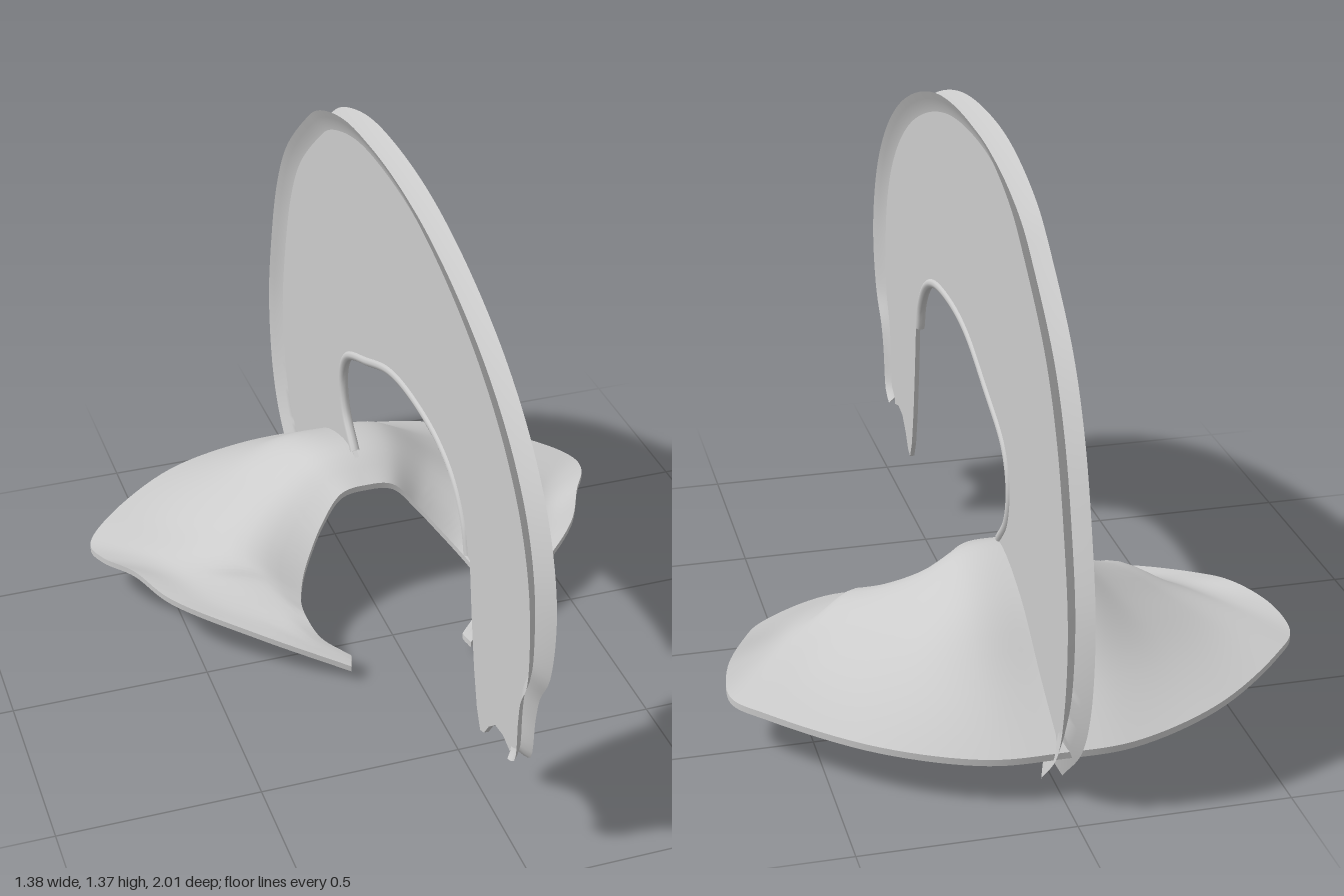
import * as THREE from 'three';
import { toCreasedNormals } from 'three/addons/utils/BufferGeometryUtils.js';

const grey = new THREE.MeshStandardMaterial({ color: 0xcccccc, side: THREE.DoubleSide });
grey.name = 'pale grey';

// Skin a list of closed cross-sections; each end is closed by a fan from point `hub`
function loft(rings, hub, crease) {
  const n = rings[0].length, pos = [], idx = [];
  rings.forEach(r => r.forEach(p => pos.push(p.x, p.y, p.z)));
  for (let i = 0; i < rings.length - 1; i++) {
    for (let j = 0; j < n; j++) {
      const a = i * n + j, b = i * n + (j + 1) % n;
      idx.push(a, a + n, b + n, a, b + n, b);
    }
  }
  const last = (rings.length - 1) * n;
  for (let k = 1; k < n - 1; k++) {
    const p = (hub + k) % n, q = (hub + k + 1) % n;
    idx.push(hub, p, q, last + hub, last + q, last + p);
  }
  const g = new THREE.BufferGeometry();
  g.setAttribute('position', new THREE.Float32BufferAttribute(pos, 3));
  g.setIndex(idx);
  return toCreasedNormals(g, crease);
}

const vec = p => new THREE.Vector3(...p);
const inPlane = list => list.map(([z, y]) => new THREE.Vector3(0, y, z));
const spline = pts => new THREE.CatmullRomCurve3(pts, false, 'centripetal');

function addMesh(group, name, geometry) {
  const m = new THREE.Mesh(geometry, grey);
  m.name = name;
  group.add(m);
}

// Upright crescent: outer and inner edges as [z, y], from front to back
const outerEdge = [
  [0.87, 0.262], [0.913, 0.29], [0.93, 0.41], [0.945, 0.475], [0.99, 0.56], [1, 0.76], [0.945, 0.925],
  [0.84, 1.06], [0.68, 1.18], [0.46, 1.28], [0.195, 1.35], [-0.07, 1.37], [-0.285, 1.352], [-0.5, 1.283],
  [-0.61, 1.21], [-0.795, 1.047], [-0.89, 0.897], [-0.956, 0.71], [-1, 0.495], [-0.983, 0.28],
  [-0.93, 0.147], [-0.785, 0.003]];
const innerEdge = [
  [-0.31, 0.385], [-0.385, 0.465], [-0.405, 0.56], [-0.365, 0.64], [-0.18, 0.727], [0, 0.795],
  [0.165, 0.815], [0.355, 0.8], [0.46, 0.755], [0.525, 0.68], [0.548, 0.61]];
const lowerBack = [[-0.70, 0.11], [-0.61, 0.25], [-0.45, 0.35], [-0.3, 0.362], [-0.21, 0.335]];
const frontFoot = [
  [0.57, 0.61], [0.59, 0.46], [0.612, 0.33], [0.635, 0.235], [0.66, 0.185], [0.685, 0.195],
  [0.715, 0.235], [0.755, 0.27], [0.805, 0.278], [0.85, 0.265]];

function buildCrescent(group) {
  const t = 0.006, steps = 160, rings = [], plateEdge = [];
  const curve = spline(inPlane(outerEdge));
  for (let i = 0; i <= steps; i++) {
    const s = i / steps, o = curve.getPointAt(s), d = curve.getTangentAt(s);
    // the flared rim is narrower at the front foot and deeper at the tail
    const k = THREE.MathUtils.smoothstep(s, 0.02, 0.14);
    const tail = THREE.MathUtils.smoothstep(s, 0.9, 1);
    const w = 0.026 + 0.026 * k + 0.022 * tail;
    const h = 0.02 + 0.011 * k - 0.006 * tail;
    const at = (f, x) => new THREE.Vector3(x, o.y + d.z * w * f, o.z - d.y * w * f);
    const side = [[1, t], [0.7, t + (h - t) * 0.2], [0.35, t + (h - t) * 0.6], [0, h], [0.45, h * 0.45]];
    rings.push([
      ...side.map(([f, x]) => at(f, x)), at(0.95, 0),
      ...side.slice().reverse().map(([f, x]) => at(f, -x))]);
    const p = at(0.97, 0);
    plateEdge.push(new THREE.Vector2(p.z, p.y));
  }
  addMesh(group, 'crescentRim', loft(rings, 5, 0.8));

  // flat plate inside the rim
  const lip = spline(inPlane(innerEdge));
  const shape = new THREE.Shape([
    ...plateEdge,
    ...lowerBack.map(p => new THREE.Vector2(...p)),
    ...lip.getPoints(70).map(p => new THREE.Vector2(p.z, p.y)),
    ...frontFoot.map(p => new THREE.Vector2(...p))]);
  const plate = new THREE.ExtrudeGeometry(shape, { depth: 2 * t, bevelEnabled: false });
  plate.translate(0, 0, -t).rotateY(-Math.PI / 2);
  addMesh(group, 'crescentPlate', plate);

  // rounded lip along the inner free edge
  addMesh(group, 'crescentInnerLip', new THREE.TubeGeometry(lip, 90, 0.013, 10));
}

// Tent sheet, left half: each row runs from the notch edge to the outer edge
const tentRows = [
  [[0, 0.34, -0.21], [0, 0.384, -0.33], [0, 0.335, -0.52], [0, 0.22, -0.7], [0, 0.118, -0.875]],
  [[0.07, 0.33, -0.207], [0.1, 0.37, -0.33], [0.13, 0.325, -0.52], [0.15, 0.215, -0.7], [0.17, 0.118, -0.865]],
  [[0.13, 0.265, -0.185], [0.2, 0.305, -0.3], [0.27, 0.26, -0.46], [0.34, 0.19, -0.62], [0.395, 0.13, -0.775]],
  [[0.18, 0.205, -0.14], [0.29, 0.25, -0.23], [0.41, 0.205, -0.36], [0.51, 0.165, -0.48], [0.617, 0.137, -0.58]],
  [[0.21, 0.17, -0.1], [0.33, 0.22, -0.17], [0.46, 0.185, -0.28], [0.57, 0.16, -0.38], [0.688, 0.135, -0.475]],
  [[0.228, 0.15, -0.06], [0.33, 0.2, -0.13], [0.45, 0.175, -0.22], [0.55, 0.16, -0.3], [0.677, 0.155, -0.37]],
  [[0.237, 0.138, -0.03], [0.32, 0.178, -0.1], [0.42, 0.163, -0.165], [0.51, 0.155, -0.21], [0.618, 0.17, -0.26]],
  [[0.237, 0.125, 0.015], [0.29, 0.142, -0.03], [0.37, 0.135, -0.07], [0.45, 0.135, -0.105], [0.555, 0.148, -0.145]],
  [[0.215, 0.09, 0.065], [0.25, 0.1, 0.055], [0.28, 0.1, 0.045], [0.32, 0.105, 0.035], [0.37, 0.11, 0.025]],
  [[0.15, 0.055, 0.118], [0.152, 0.052, 0.126], [0.155, 0.05, 0.134], [0.158, 0.048, 0.142], [0.161, 0.046, 0.15]]];

function buildTent(group) {
  const mirrored = tentRows.slice(1).reverse().map(r => r.map(([x, y, z]) => [-x, y, z]));
  const rows = [...mirrored, ...tentRows];
  const lines = rows[0].map((_, j) => spline(rows.map(r => vec(r[j]))));
  const nu = 144, nv = 18, thick = 0.016, rings = [];
  for (let i = 0; i <= nu; i++) {
    const across = spline(lines.map(l => l.getPoint(i / nu)));
    const top = across.getPoints(nv);
    const under = top.map(p => p.clone().setY(p.y - thick)).reverse();
    rings.push([...top, ...under]);
  }
  addMesh(group, 'tentSheet', loft(rings, 0, 0.9));
}

export function createModel() {
  const model = new THREE.Group();
  model.name = 'crescentAndTent';
  const crescent = new THREE.Group();
  crescent.name = 'crescent';
  buildCrescent(crescent);
  const tent = new THREE.Group();
  tent.name = 'tent';
  buildTent(tent);
  model.add(crescent, tent);
  return model;
}
